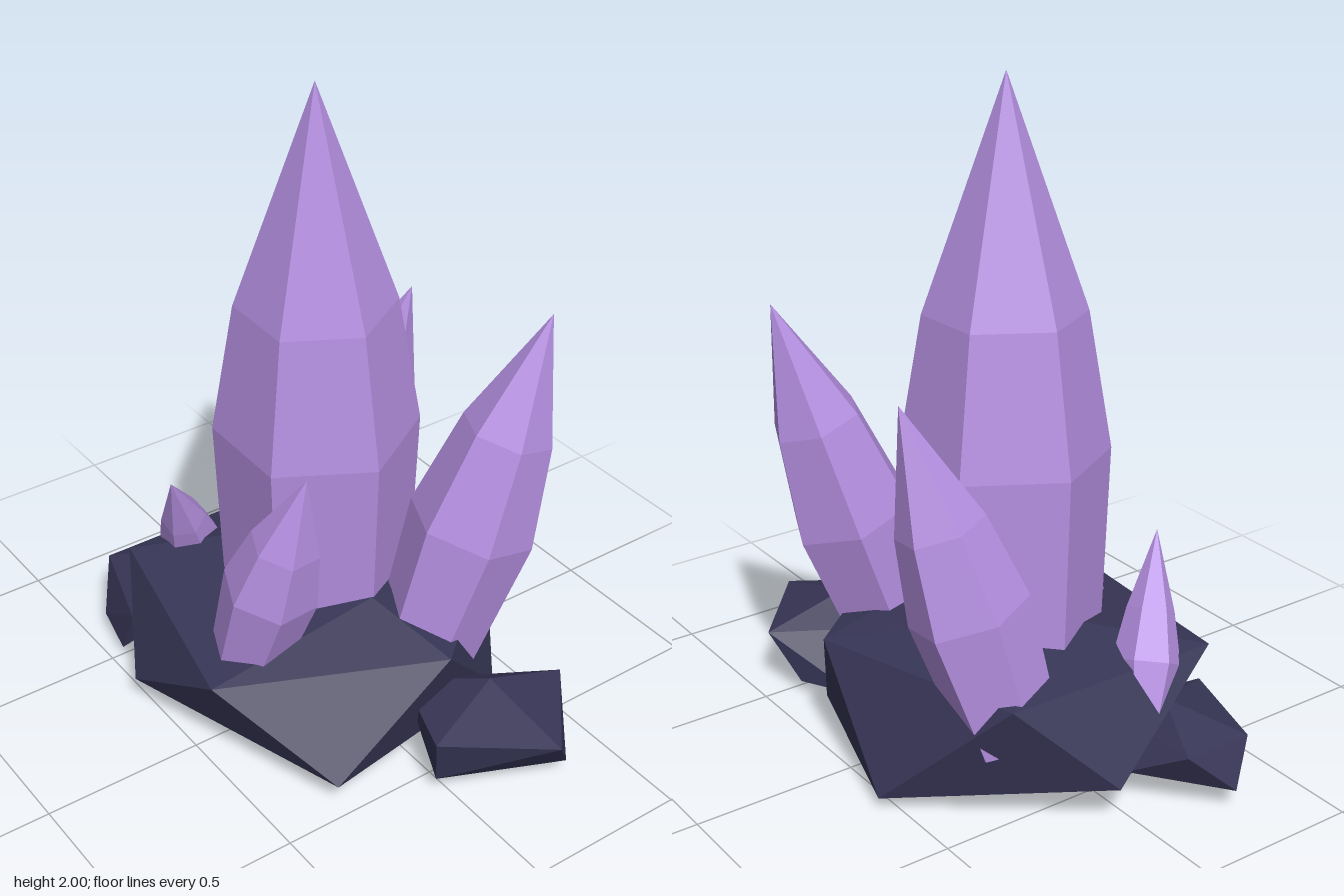
import * as THREE from 'three';
import { ConvexGeometry } from 'three/addons/geometries/ConvexGeometry.js';

const flat = (name, color) => new THREE.MeshStandardMaterial({ name, color, flatShading: true });

// Six-sided crystal from base to tip; rings are [distance back from the tip, radius]
function crystal(name, base, tip, rings, phase, material) {
  const a = new THREE.Vector3(...base);
  const b = new THREE.Vector3(...tip);
  const axis = b.clone().sub(a);
  const length = axis.length();
  const profile = [
    new THREE.Vector2(0, 0),
    new THREE.Vector2(rings[0][1], 0),
    ...rings.slice(1).map(([d, r]) => new THREE.Vector2(r, length - d)),
    new THREE.Vector2(0, length),
  ];
  const mesh = new THREE.Mesh(new THREE.LatheGeometry(profile, 6, phase), material);
  mesh.name = name;
  mesh.position.copy(a);
  mesh.quaternion.setFromUnitVectors(new THREE.Vector3(0, 1, 0), axis.normalize());
  return mesh;
}

// Faceted stone wrapped around a few corner points
function rock(name, corners, material) {
  const mesh = new THREE.Mesh(new ConvexGeometry(corners.map((p) => new THREE.Vector3(...p))), material);
  mesh.name = name;
  return mesh;
}

export function createModel() {
  const group = new THREE.Group();
  group.name = 'crystalCluster';
  const violet = flat('violet crystal', 0xb48fe0);
  const slate = flat('dark slate', 0x373555);

  // Stones
  group.add(
    rock('baseRock', [
      [-0.54, 0.37, 0.39], [-0.54, 0.38, -0.31], [-0.25, 0.46, 0.0], [0.18, 0.445, -0.02],
      [0.13, 0.37, -0.5], [0.47, 0.37, -0.09], [0.12, 0.31, 0.51],
      [-0.27, 0.1, 0.545], [0.47, 0.09, 0.31], [-0.7, 0.13, -0.06],
      [-0.23, 0.04, -0.55], [0.33, 0.05, -0.38], [-0.1, 0.005, 0.02], [-0.42, 0.05, 0.2],
    ], slate),
    rock('rightSideRock', [
      [-0.82, 0.07, 0.26], [-0.76, 0.19, 0.13], [-0.76, 0.19, 0.35], [-0.57, 0.27, 0.2],
      [-0.64, 0.07, 0.44], [-0.44, 0.19, 0.45], [-0.48, 0.05, 0.47], [-0.58, 0.03, 0.25],
      [-0.6, 0.1, 0.04], [-0.4, 0.2, 0.12],
    ], slate),
    rock('leftSideRock', [
      [0.52, 0.28, -0.2], [0.81, 0.2, -0.23], [0.54, 0.2, -0.46], [0.6, 0.21, 0.06],
      [0.74, 0.06, -0.32], [0.58, 0.06, 0.04], [0.5, 0.03, -0.1], [0.3, 0.04, -0.3],
      [0.3, 0.2, -0.05], [0.45, 0.05, -0.4],
    ], slate),
  );

  // Crystals
  group.add(
    crystal('mainCrystal', [-0.115, 0.2, -0.03], [-0.06, 2, 0.01],
      [[0, 0.28], [1.08, 0.305], [0.67, 0.235]], Math.PI / 6, violet),
    crystal('backLeftCrystal', [0.245, 0.2, -0.15], [0.36, 1.33, -0.5],
      [[0, 0.15], [0.7, 0.192], [0.38, 0.137]], 0.1, violet),
    crystal('backRightCrystal', [-0.41, 0.22, -0.22], [-0.2, 1.19, -0.44],
      [[0, 0.14], [0.62, 0.175], [0.36, 0.13]], 0.4, violet),
    crystal('frontLeftCrystal', [0.01, 0.25, 0.32], [0.2, 0.97, 0.225],
      [[0, 0.115], [0.43, 0.145], [0.25, 0.105]], 0.15, violet),
    crystal('frontRightCrystal', [-0.545, 0.23, 0.14], [-0.365, 0.685, 0.33],
      [[0, 0.075], [0.38, 0.1], [0.23, 0.07]], 0.5, violet),
  );
  return group;
}
